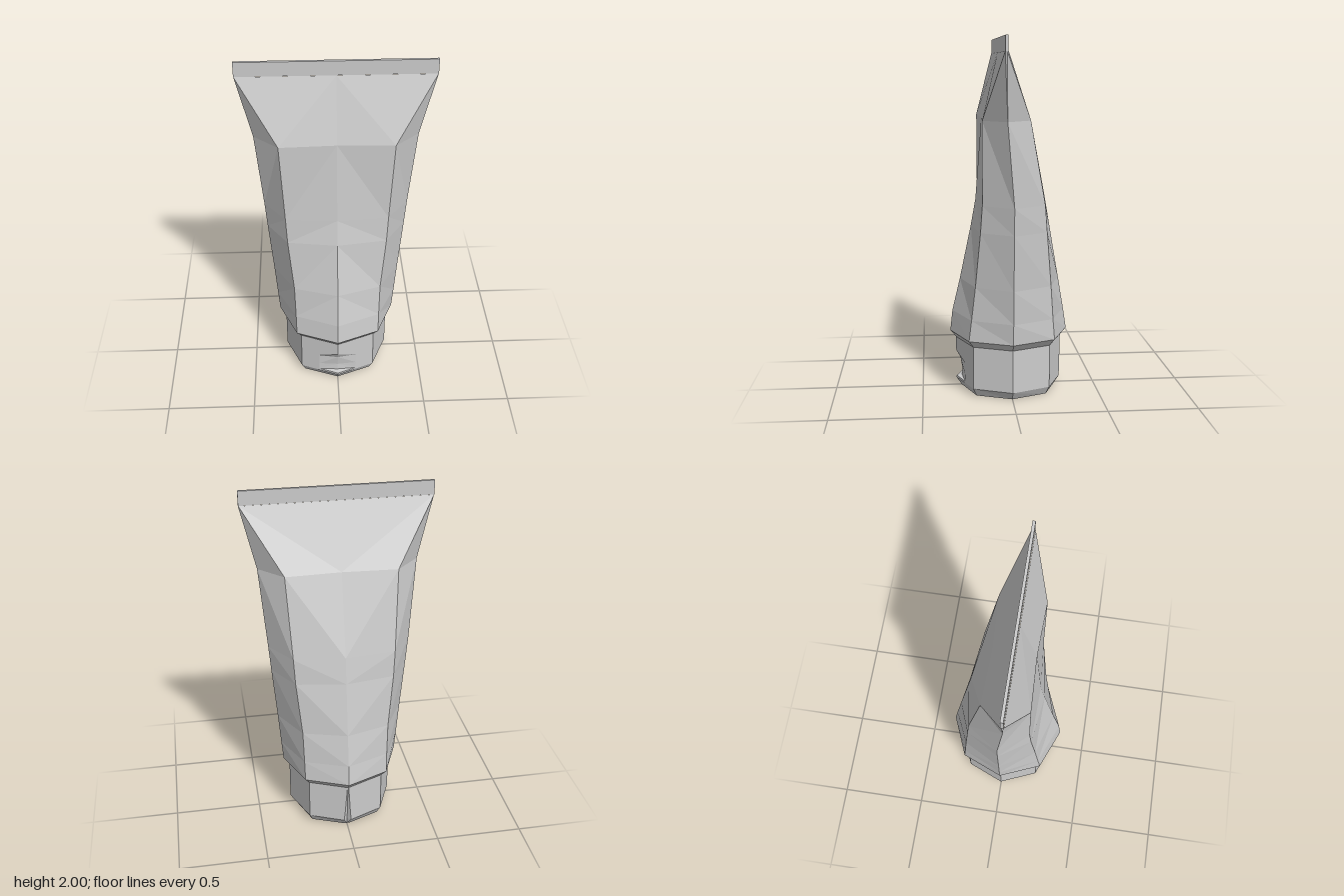
import * as THREE from 'three';

const material = new THREE.MeshStandardMaterial({ color: 0xcccccc, flatShading: true });

// Each ring: y plus its right half, listed as [x, z] from front centre to back centre.
// The left half is mirrored, neighbouring rings are joined and the ends can be closed.
function loft(name, rings, closeBottom, closeTop) {
  const half = rings[0].half.length - 1, n = half * 2;
  const pos = [], index = [];
  for (const { y, half: pts } of rings) {
    const mirrored = pts.slice(1, -1).reverse().map(([x, z]) => [-x, z]);
    for (const [x, z] of [...pts, ...mirrored]) pos.push(x, y, z);
  }
  for (let r = 0; r < rings.length - 1; r++) {
    for (let i = 0; i < n; i++) {
      const a = r * n + i, b = r * n + (i + 1) % n, c = b + n, d = a + n;
      if (i < half) index.push(a, b, d, b, c, d);
      else index.push(a, b, c, a, c, d);
    }
  }
  const top = (rings.length - 1) * n;
  for (let i = 1; i < n - 1; i++) {
    if (closeBottom) index.push(0, i + 1, i);
    if (closeTop) index.push(top, top + i, top + i + 1);
  }
  const geometry = new THREE.BufferGeometry();
  geometry.setAttribute('position', new THREE.Float32BufferAttribute(pos, 3));
  geometry.setIndex(index);
  const flat = geometry.toNonIndexed();
  flat.computeVertexNormals();
  const mesh = new THREE.Mesh(flat, material);
  mesh.name = name;
  return mesh;
}

// Tube ring: corner x, side x, then z of front centre, front corner, side, back corner, back centre
const tubeRing = (y, cx, sx, fz, fcz, sz, bcz, bz) => ({
  y, half: [[0, fz], [cx, fcz], [sx, sz], [cx, bcz], [0, bz]],
});

// Cap ring: an octagon with a front thumb recess and a narrow back hinge groove
function capRing(y, radius, corner, frontZ, grooveZ, grooveX) {
  const lerp = (x) => radius - (radius - corner) * x / corner;
  const fx = 0.11;
  return {
    y,
    half: [
      [0, frontZ], [fx, Math.min(lerp(fx), frontZ)], [corner, corner], [radius, 0],
      [corner, -corner], [grooveX, -lerp(grooveX)], [0, -grooveZ],
    ],
  };
}

export function createModel() {
  const model = new THREE.Group();
  model.name = 'squeezeTube';

  // Squeezed body with shoulder, creased middle and flaring top
  model.add(loft('tubeBody', [
    tubeRing(0.29, 0.215, 0.305, 0.305, 0.215, 0, -0.215, -0.305),
    tubeRing(0.33, 0.24, 0.34, 0.338, 0.24, 0, -0.24, -0.338),
    tubeRing(0.45, 0.242, 0.35, 0.325, 0.225, 0, -0.23, -0.32),
    tubeRing(0.64, 0.247, 0.365, 0.28, 0.203, 0, -0.217, -0.288),
    tubeRing(0.95, 0.277, 0.392, 0.215, 0.175, 0, -0.19, -0.235),
    tubeRing(1.1, 0.285, 0.404, 0.188, 0.165, 0, -0.178, -0.21),
    tubeRing(1.56, 0.31, 0.443, 0.153, 0.165, 0.04, -0.095, -0.082),
    tubeRing(1.92, 0.525, 0.527, 0.06, 0.06, 0.05, 0.042, 0.042),
  ], false, false));

  // Flat crimped seal
  const seal = new THREE.Mesh(new THREE.BoxGeometry(1.052, 0.08, 0.016), material);
  seal.name = 'crimpedSeal';
  seal.position.set(0, 1.96, 0.051);
  model.add(seal);

  // Flip cap
  model.add(loft('cap', [
    capRing(0, 0.275, 0.197, 0.275, 0.268, 0.022),
    capRing(0.045, 0.305, 0.215, 0.305, 0.277, 0.02),
    capRing(0.055, 0.305, 0.215, 0.303, 0.278, 0.02),
    capRing(0.06, 0.305, 0.215, 0.272, 0.278, 0.02),
    capRing(0.1, 0.305, 0.215, 0.27, 0.282, 0.016),
    capRing(0.165, 0.305, 0.215, 0.28, 0.288, 0.012),
    capRing(0.21, 0.305, 0.215, 0.305, 0.293, 0.009),
    capRing(0.29, 0.305, 0.215, 0.305, 0.303, 0.004),
  ], true, false));

  return model;
}
